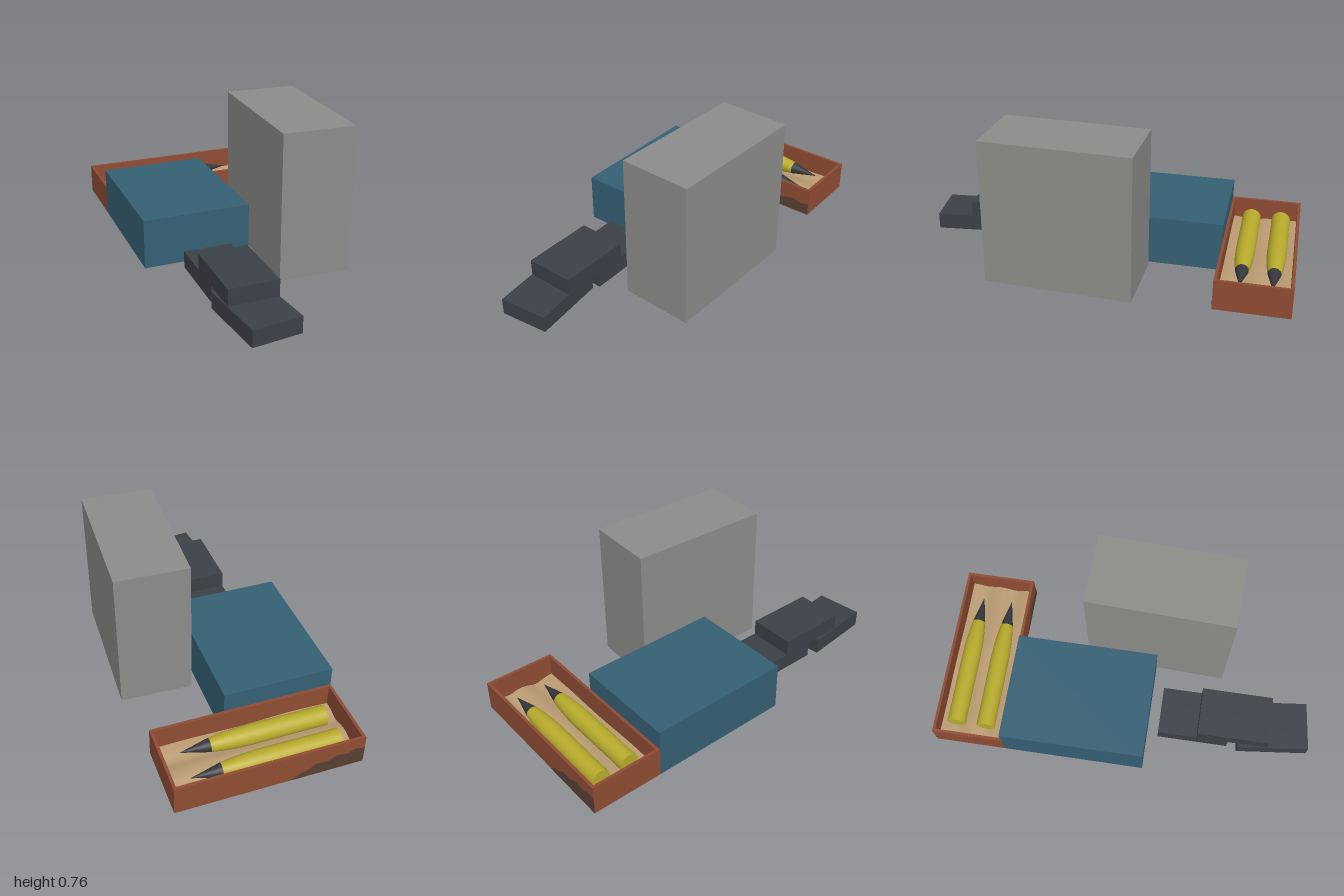
import * as THREE from 'three';

const mat = (name, color) => {
  const m = new THREE.MeshStandardMaterial({ color, side: THREE.DoubleSide });
  m.name = name;
  return m;
};

export function createModel() {
  const group = new THREE.Group();
  const grey = mat('grey', 0x8c8c89);
  const blue = mat('blue', 0x356074);
  const charcoal = mat('charcoal', 0x3c4047);
  const rust = mat('rust', 0x8f4c33);
  const grime = mat('grime', 0x574033);
  const cloth = mat('cloth', 0xb99b72);
  const yellow = mat('yellow', 0xb8ab2c);
  const steel = mat('steel', 0x35373c);

  const add = (name, geo, material, parent = group) => {
    const mesh = new THREE.Mesh(geo, material);
    mesh.name = name;
    parent.add(mesh);
    return mesh;
  };

  // Thin-walled box without its bottom face
  const openBox = (name, material, [w, h, d], [x, y, z], turn = 0) => {
    const geo = new THREE.BoxGeometry(w, h, d);
    const index = Array.from(geo.index.array);
    index.splice(18, 6);
    geo.setIndex(index);
    geo.clearGroups();
    const mesh = add(name, geo, material);
    mesh.position.set(x, y + h / 2, z);
    mesh.rotation.y = turn;
    return mesh;
  };

  // Closed crates
  openBox('tallCrate', grey, [0.374, 0.757, 0.756], [0.284, 0, 0.132], -0.039);
  openBox('wideCrate', blue, [0.565, 0.26, 0.755], [-0.2075, 0, -0.2475]);

  // Stack of three small cases
  const caseSize = [0.254, 0.0865, 0.378];
  openBox('frontCase', charcoal, caseSize, [-0.174, 0, 0.797], 0.112);
  openBox('rearCase', charcoal, caseSize, [-0.175, 0, 0.378]);
  openBox('upperCase', charcoal, caseSize, [-0.175, 0.0865, 0.588]);

  // Open tray: four walls with no floor
  const tray = new THREE.Group();
  tray.name = 'shellTray';
  tray.position.set(-0.02, 0, -0.8125);
  group.add(tray);
  const L = 0.94, W = 0.375, H = 0.158, T = 0.015;
  const rect = (Type, w, d) => new Type([
    new THREE.Vector2(-w / 2, -d / 2), new THREE.Vector2(w / 2, -d / 2),
    new THREE.Vector2(w / 2, d / 2), new THREE.Vector2(-w / 2, d / 2)]);
  const frame = rect(THREE.Shape, L, W);
  frame.holes.push(rect(THREE.Path, L - 2 * T, W - 2 * T));
  const walls = new THREE.ExtrudeGeometry(frame, { depth: H, bevelEnabled: false });
  walls.rotateX(-Math.PI / 2);
  add('trayWalls', walls, rust, tray);

  // Sagging cloth lining, dipped under each shell
  const lining = new THREE.PlaneGeometry(L - 2 * T, W - 2 * T, 40, 24);
  lining.rotateX(-Math.PI / 2);
  const p = lining.attributes.position;
  for (let i = 0; i < p.count; i++) {
    const x = p.getX(i), z = p.getZ(i);
    const dip = Math.exp(-(((z - 0.0725) / 0.045) ** 2)) + Math.exp(-(((z + 0.0875) / 0.045) ** 2));
    p.setY(i, 0.046 - 0.016 * dip + 0.006 * Math.sin(9 * x + 5 * z) * Math.cos(14 * z - 3 * x));
  }
  lining.computeVertexNormals();
  add('trayLining', lining, cloth, tray);

  // Worn patches on the long outer walls
  const patch = (name, points, z) => {
    const geo = new THREE.ShapeGeometry(new THREE.Shape(points.map(([x, y]) => new THREE.Vector2(x, y))));
    add(name, geo, grime, tray).position.z = z;
  };
  patch('backWear', [[-0.47, 0], [-0.1, 0], [-0.14, 0.03], [-0.18, 0.04], [-0.22, 0.07],
    [-0.28, 0.065], [-0.33, 0.09], [-0.38, 0.08], [-0.42, 0.1], [-0.47, 0.09]], -W / 2 - 0.001);
  patch('frontWear', [[0.2, 0], [0.47, 0], [0.47, 0.07], [0.42, 0.06], [0.37, 0.075],
    [0.31, 0.06], [0.26, 0.045]], W / 2 + 0.001);

  // Two pointed shells lying along x
  const lathe = (pts) => new THREE.LatheGeometry(pts.map(([r, x]) => new THREE.Vector2(r, x)), 28)
    .rotateZ(-Math.PI / 2);
  const bodyGeo = lathe([[0.05, -0.405], [0.049, -0.3], [0.05, -0.15], [0.05, 0], [0.047, 0.07],
    [0.042, 0.13], [0.034, 0.19]]);
  const tipGeo = lathe([[0.034, 0.19], [0.024, 0.235], [0.01, 0.295], [0, 0.342]]);
  const capGeo = new THREE.CircleGeometry(0.05, 28).rotateY(-Math.PI / 2).translate(-0.405, 0, 0);
  for (const z of [-0.9, -0.74]) {
    const shell = new THREE.Group();
    shell.name = 'shell';
    shell.position.set(0, 0.081, z);
    add('shellBody', bodyGeo, yellow, shell);
    add('shellBase', capGeo, yellow, shell);
    add('shellTip', tipGeo, steel, shell);
    group.add(shell);
  }
  return group;
}
